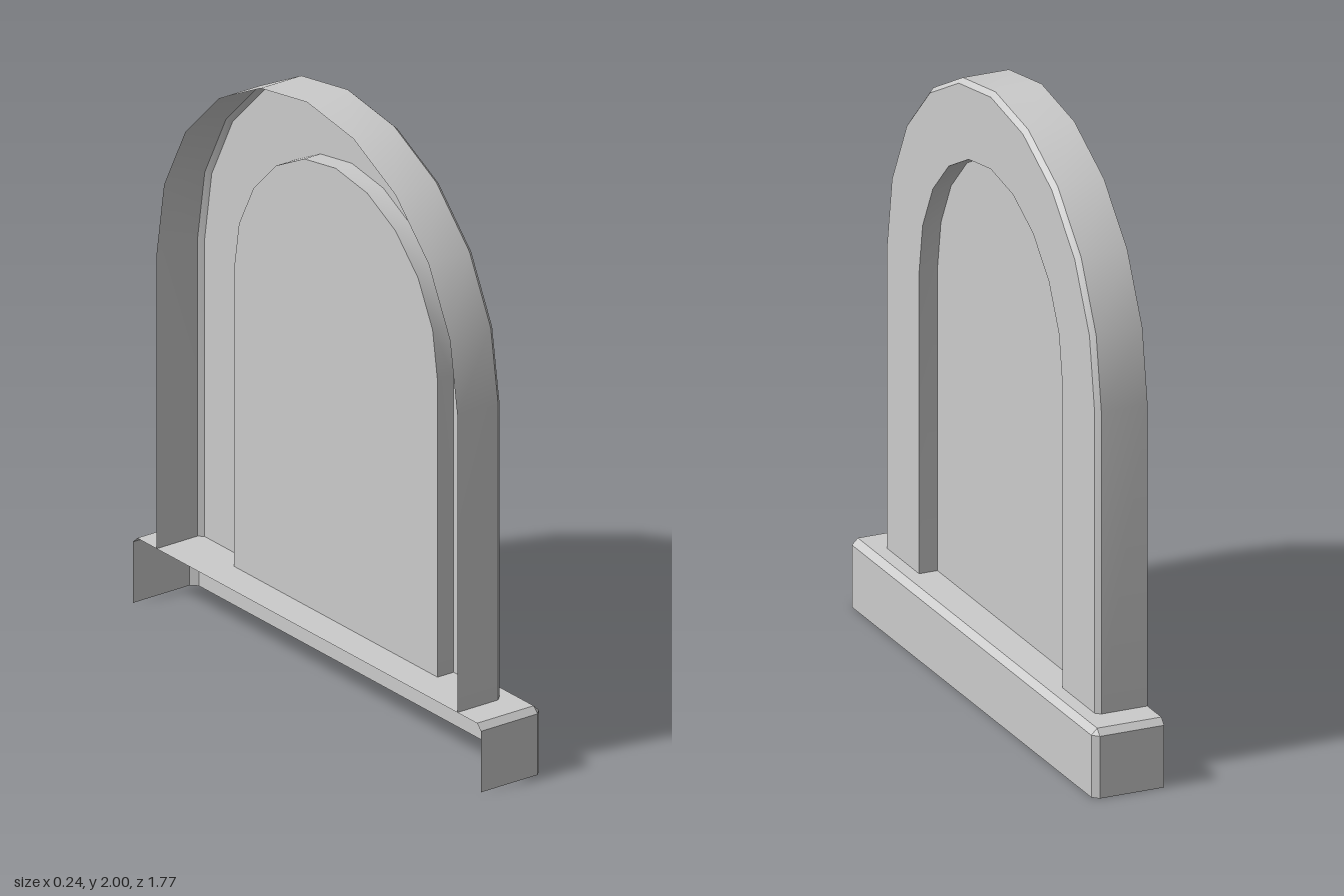
import * as THREE from 'three';
import { toCreasedNormals } from 'three/addons/utils/BufferGeometryUtils.js';

const FLOOR = 0.225;   // top of the plinth
const SPRING = 1.22;   // height where the arch starts to curve
const BACK = -0.12;

const material = new THREE.MeshStandardMaterial({ color: 0xcccccc, side: THREE.DoubleSide });

// Skin neighbouring rows of [x, y, z] points.
function loft(rows) {
  const n = rows[0].length;
  const index = [];
  for (let r = 0; r < rows.length - 1; r++) {
    for (let i = 0; i < n - 1; i++) {
      const a = r * n + i, b = a + n;
      index.push(a, b, b + 1, a, b + 1, a + 1);
    }
  }
  const geometry = new THREE.BufferGeometry();
  geometry.setAttribute('position', new THREE.Float32BufferAttribute(rows.flat(2), 3));
  geometry.setIndex(index);
  return toCreasedNormals(geometry, 0.5);
}

// Outline of a round-topped opening at depth x, from +z foot to -z foot.
function archRow(x, rz, ry, segments = 10) {
  const row = [[x, FLOOR, rz]];
  for (let i = 0; i <= segments; i++) {
    const a = (i / segments) * Math.PI;
    row.push([x, SPRING + ry * Math.sin(a), rz * Math.cos(a)]);
  }
  row.push([x, FLOOR, -rz]);
  return row;
}

function add(group, name, geometry) {
  const mesh = new THREE.Mesh(geometry, material);
  mesh.name = name;
  group.add(mesh);
}

export function createModel() {
  const group = new THREE.Group();
  group.name = 'archedNiche';

  // Arched frame: outer wall, bevel, front face, recess wall
  const panelX = -0.01;
  add(group, 'archFrame', loft([
    archRow(BACK, 0.765, 0.78),
    archRow(0.036, 0.765, 0.78),
    archRow(0.052, 0.75, 0.765),
    archRow(0.052, 0.518, 0.528),
    archRow(panelX, 0.518, 0.528),
  ]));

  // Recessed panel
  const outline = archRow(0, 0.518, 0.528).map(([, y, z]) => new THREE.Vector2(-z, y));
  const panel = new THREE.ShapeGeometry(new THREE.Shape(outline));
  panel.rotateY(Math.PI / 2).translate(panelX, 0, 0);
  add(group, 'recessedPanel', panel);

  // Plinth with bevelled front corners and top edge, open at back and bottom
  const halfZ = 0.885, frontX = 0.117, bevel = 0.02;
  const inX = frontX - bevel, inZ = halfZ - bevel;
  const half = [[BACK, halfZ], [inX, halfZ], [frontX, inZ]];
  const plan = [...half.map(([x, z]) => [x, -z]), ...half.reverse()];
  const plinthRow = (y, maxX, maxZ) => plan.map(([x, z]) =>
    [Math.min(x, maxX), y, THREE.MathUtils.clamp(z, -maxZ, maxZ)]);
  add(group, 'plinth', loft([
    plinthRow(0, frontX, halfZ),
    plinthRow(FLOOR - bevel, frontX, halfZ),
    plinthRow(FLOOR, inX, inZ),
    plinthRow(FLOOR, BACK, inZ),
  ]));

  return group;
}
